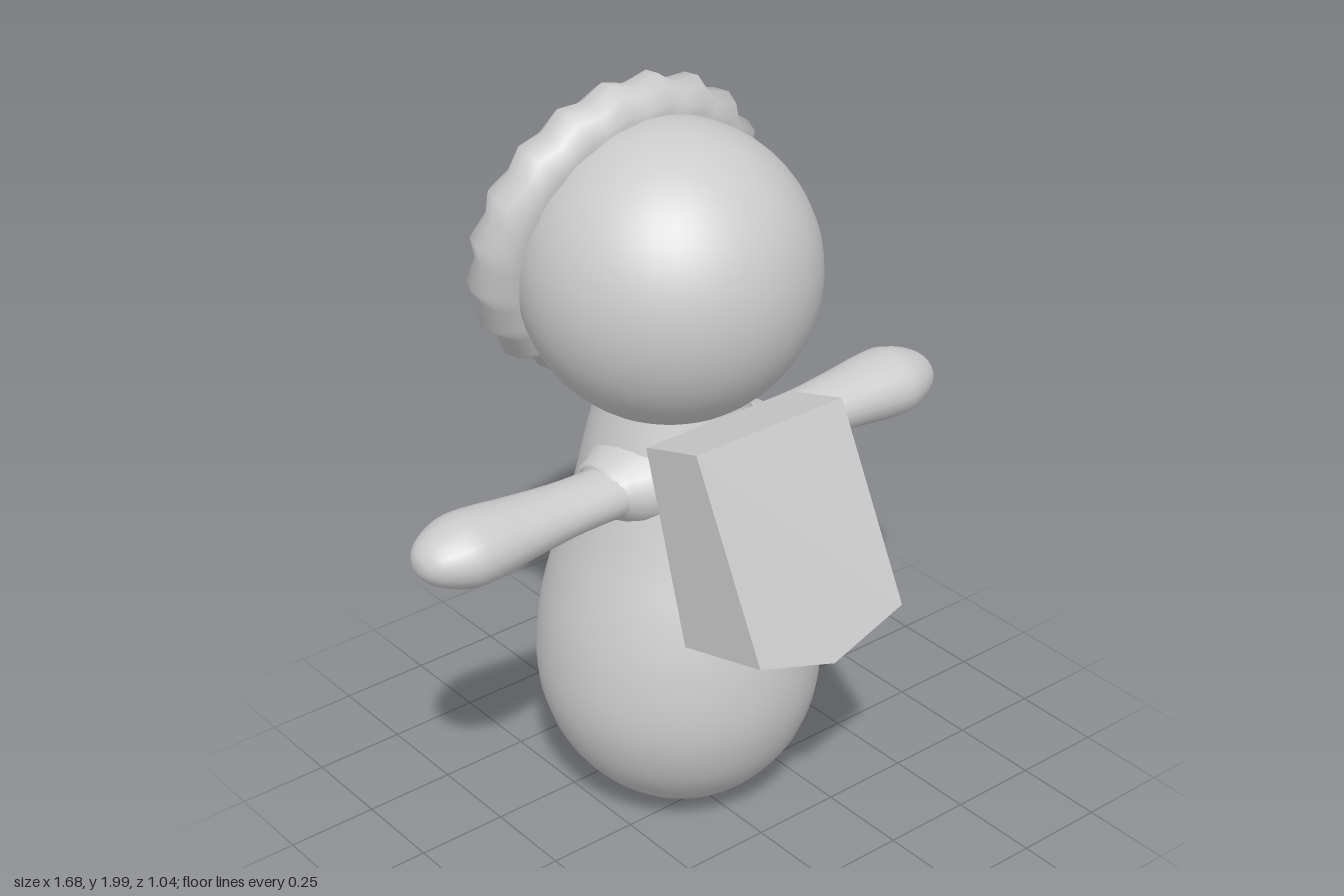
import * as THREE from 'three';
import { mergeVertices } from 'three/addons/utils/BufferGeometryUtils.js';

const material = new THREE.MeshStandardMaterial({ color: 0xcccccc, side: THREE.DoubleSide });

function addMesh(parent, name, geometry) {
  const mesh = new THREE.Mesh(geometry, material);
  mesh.name = name;
  parent.add(mesh);
  return mesh;
}

// Smooth lathe through a few [radius, height] points
function turned(points, samples, segments) {
  const curve = new THREE.SplineCurve(points.map(([r, y]) => new THREE.Vector2(r, y)));
  const profile = curve.getPoints(samples);
  profile.forEach((p) => { p.x = Math.max(p.x, 0); });
  return new THREE.LatheGeometry(profile, segments);
}

// Move every vertex by a rule
function reshape(geometry, rule) {
  const pos = geometry.attributes.position;
  const v = new THREE.Vector3();
  for (let i = 0; i < pos.count; i++) {
    v.fromBufferAttribute(pos, i);
    rule(v, i);
    pos.setXYZ(i, v.x, v.y, v.z);
  }
  return geometry;
}

// Pear-shaped body, leaning slightly back toward the neck
function bodyGeometry() {
  const g = turned([
    [0, 0.005], [0.11, 0.025], [0.22, 0.085], [0.315, 0.19], [0.367, 0.31], [0.382, 0.43],
    [0.368, 0.57], [0.335, 0.7], [0.295, 0.82], [0.26, 0.94], [0.225, 1.08], [0.19, 1.2], [0.175, 1.26],
  ], 48, 40);
  return reshape(g, (v) => { v.z -= 0.088 + 0.03 * v.y; });
}

// Crimped wreath: tube thickness alternates between teeth and valleys
function wreathGeometry() {
  const R = 0.35, teeth = 20;
  const g = new THREE.TorusGeometry(R, 0.085, 12, teeth * 2);
  const uv = g.attributes.uv;
  reshape(g, (v, i) => {
    const step = Math.round(uv.getX(i) * teeth * 2);
    const a = (step / teeth) * Math.PI;
    const cx = R * Math.cos(a), cy = R * Math.sin(a);
    const k = step % 2 ? 1.18 : 0.84;
    v.set(cx + (v.x - cx) * k, (cy + (v.y - cy) * k) * 0.94, v.z * (step % 2 ? 1.02 : 0.94));
  });
  g.deleteAttribute('uv');
  g.deleteAttribute('normal');
  const merged = mergeVertices(g, 1e-4);
  merged.computeVertexNormals();
  return merged;
}

// Tilted wedge with a pointed lower edge
function chestBlockGeometry() {
  const w = 0.235;
  const outline = new THREE.Shape([
    [-w, 0], [-w, -1], [0, -1.15], [w, -1], [w, 0],
  ].map(([x, y]) => new THREE.Vector2(x, y)));
  const g = new THREE.ExtrudeGeometry(outline, { depth: 1, bevelEnabled: false });
  reshape(g, (v) => {
    const u = -v.y, front = v.z > 0.5;
    v.y = front ? 1.25 - 0.49 * u : 1.19 - 0.51 * u;
    v.z = front ? Math.min(0.265 + 0.245 * u, 0.52) : 0.07 + 0.15 * u;
  });
  g.computeVertexNormals();
  return g;
}

// Arm along +x or -x, with shoulder collar and a small thumb
function makeArm(side) {
  const arm = new THREE.Group();
  arm.name = side > 0 ? 'leftArm' : 'rightArm';
  const limb = addMesh(arm, 'limb', turned([
    [0.085, 0.1], [0.084, 0.36], [0.097, 0.52], [0.114, 0.66], [0.11, 0.73],
    [0.075, 0.8], [0.035, 0.832], [0, 0.838],
  ], 28, 20));
  const collar = addMesh(arm, 'shoulderCollar', turned([
    [0.15, 0.17], [0.13, 0.215], [0.105, 0.25], [0.092, 0.275], [0.08, 0.28],
  ], 10, 20));
  for (const part of [limb, collar]) {
    part.rotation.z = -side * Math.PI / 2;
    part.scale.x = 0.78;
  }
  collar.position.z = -0.02;
  const thumb = addMesh(arm, 'thumb', new THREE.SphereGeometry(0.04, 12, 8));
  thumb.scale.set(1.2, 0.75, 0.75);
  thumb.rotation.z = -side * 0.3;
  thumb.position.set(side * 0.69, -0.067, -0.06);
  arm.position.set(0, 1.015, -0.058);
  return arm;
}

export function createModel() {
  const model = new THREE.Group();
  model.name = 'figure';

  addMesh(model, 'body', bodyGeometry());

  const head = addMesh(model, 'head', new THREE.SphereGeometry(0.388, 40, 28));
  head.position.set(0, 1.53, -0.128);

  const wreath = addMesh(model, 'wreath', wreathGeometry());
  wreath.position.set(0, 1.585, -0.34);
  wreath.rotation.x = 0.2;

  addMesh(model, 'chestBlock', chestBlockGeometry());

  for (const side of [1, -1]) model.add(makeArm(side));

  return model;
}
